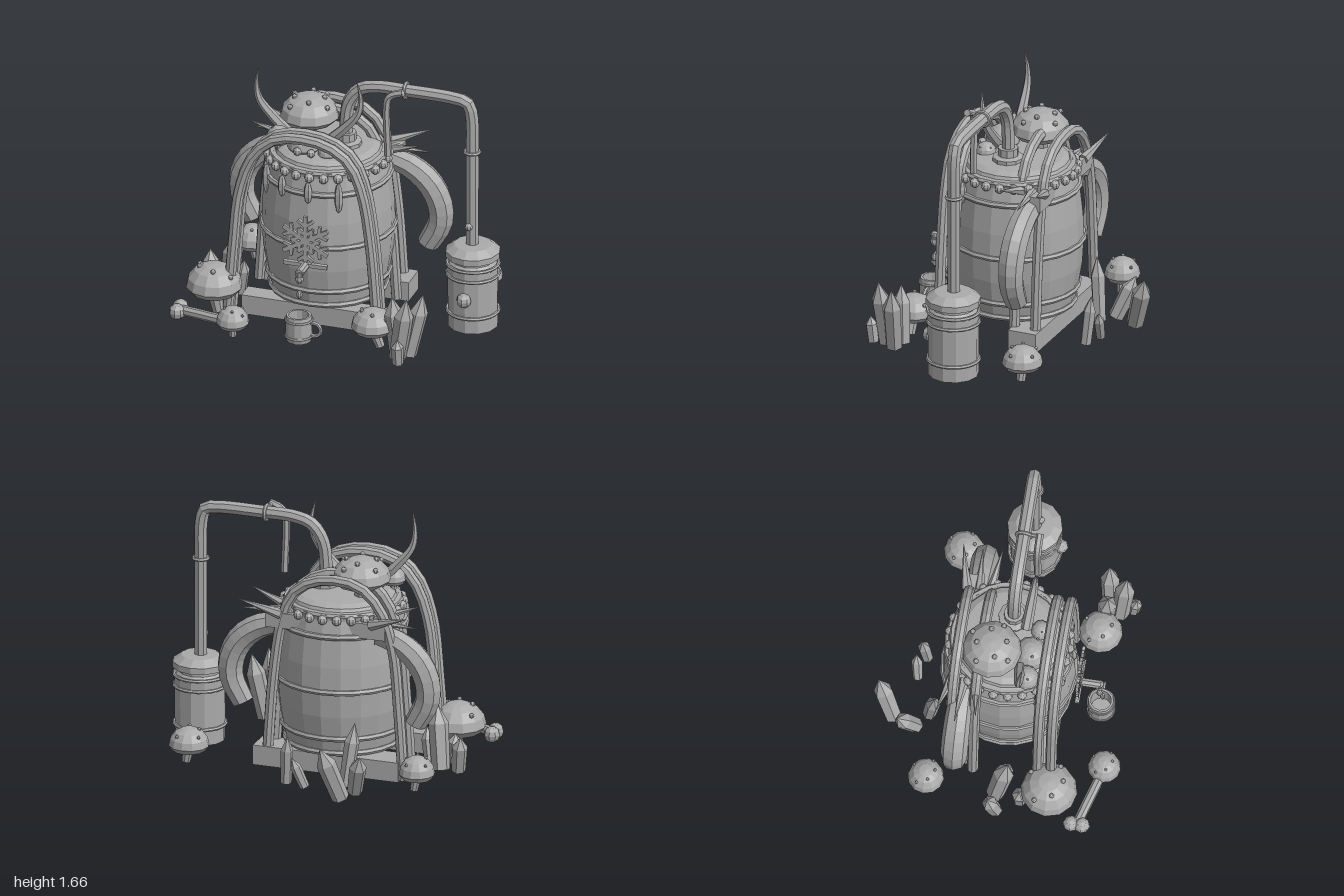
import * as THREE from 'three';

const mat = new THREE.MeshStandardMaterial({ color: 0xaaaaaa, flatShading: true, side: THREE.DoubleSide });
mat.name = 'stone grey';
const V = (x, y, z) => new THREE.Vector3(x, y, z);
const UP = V(0, 1, 0);
const CX = -0.14, CZ = 0.02; // barrel axis

export function createModel() {
  const root = new THREE.Group();

  const add = (name, geo, x = 0, y = 0, z = 0, parent = root) => {
    const m = new THREE.Mesh(geo, mat);
    m.name = name;
    m.position.set(x, y, z);
    parent.add(m);
    return m;
  };
  const box = (name, w, h, d, x, y, z, parent) => add(name, new THREE.BoxGeometry(w, h, d), x, y, z, parent);
  const ball = (name, r, x, y, z, parent) => add(name, new THREE.SphereGeometry(r, 8, 6), x, y, z, parent);
  const lathe = (name, pts, sides, x, y, z, parent) =>
    add(name, new THREE.LatheGeometry(pts.map(p => new THREE.Vector2(p[0], p[1])), sides), x, y, z, parent);
  const ring = (name, r, t, x, y, z) => {
    const m = add(name, new THREE.TorusGeometry(r, t, 6, 24), x, y, z);
    m.rotation.x = Math.PI / 2;
    return m;
  };
  // Straight tapered rod between two points
  const rod = (name, a, b, r0, r1, sides = 8) => {
    const d = b.clone().sub(a);
    const m = add(name, new THREE.CylinderGeometry(r1, r0, d.length(), sides));
    m.position.copy(a).addScaledVector(d, 0.5);
    m.quaternion.setFromUnitVectors(UP, d.normalize());
    return m;
  };
  // Capped tube along points, with a radius rule along its length
  const tube = (name, pts, r, sides = 8, segs = 24, taper = () => 1) => {
    const curve = new THREE.CatmullRomCurve3(pts, false, 'centripetal');
    const geo = new THREE.TubeGeometry(curve, segs, r, sides);
    const p = geo.attributes.position;
    for (let i = 0; i <= segs; i++) {
      const c = curve.getPointAt(i / segs), k = taper(i / segs);
      for (let j = 0; j <= sides; j++) {
        const n = i * (sides + 1) + j;
        const v = V(0, 0, 0).fromBufferAttribute(p, n).sub(c).multiplyScalar(k).add(c);
        p.setXYZ(n, v.x, v.y, v.z);
      }
    }
    const m = add(name, geo);
    for (const t of [0, 1]) {
      const cap = add(name + 'Cap', new THREE.CircleGeometry(r * taper(t), sides));
      cap.position.copy(curve.getPointAt(t));
      cap.quaternion.setFromUnitVectors(V(0, 0, 1), curve.getTangentAt(t).multiplyScalar(t ? 1 : -1));
    }
    return m;
  };

  // Barrel with hoops
  lathe('barrel', [[0, 0.15], [0.36, 0.15], [0.385, 0.27], [0.41, 0.42], [0.42, 0.59], [0.415, 0.75],
    [0.395, 0.93], [0.365, 1.07], [0, 1.07]], 20, CX, 0, CZ);
  for (const [y, r] of [[0.17, 0.365], [0.27, 0.385], [0.59, 0.42], [0.95, 0.395]]) ring('hoop', r, 0.019, CX, y, CZ);

  // Lid, studs and icicles
  lathe('lid', [[0.37, 1.05], [0.375, 1.09], [0.34, 1.1], [0.33, 1.12], [0.29, 1.14], [0, 1.16]], 20, CX, 0, CZ);
  ring('lidRim', 0.36, 0.02, CX, 1.08, CZ);
  for (let i = 0; i < 26; i++) {
    const a = i / 26 * Math.PI * 2, s = Math.sin(a), c = Math.cos(a);
    ball('rimStud', 0.031, CX + 0.38 * s, 1.058, CZ + 0.38 * c);
    if (c > 0.2 && i % 2 === 0) {
      const len = i % 4 ? 0.17 : 0.11;
      const ice = add('icicle', new THREE.SphereGeometry(1, 6, 5), CX + 0.405 * s, 1.02 - len / 2, CZ + 0.405 * c);
      ice.scale.set(0.028, len / 2 + 0.02, 0.028);
    }
  }

  // Base beams and rear crosspiece
  box('frontBeam', 0.94, 0.13, 0.13, -0.13, 0.085, 0.3);
  box('backBeam', 0.97, 0.13, 0.19, -0.145, 0.085, -0.225);
  box('rearCrosspiece', 0.8, 0.1, 0.1, CX, 1.0, -0.265);

  // Arched frame
  const arch = [[-0.69, 0.03], [-0.655, 0.5], [-0.61, 0.9], [-0.52, 1.14], [-0.38, 1.27], [-0.2, 1.3],
    [-0.02, 1.27], [0.11, 1.18], [0.19, 1.0], [0.25, 0.65], [0.3, 0.03]];
  for (const [z, k] of [[0.365, 1], [0.28, 1], [-0.135, 0.92], [-0.28, 0.92]])
    tube('arch', arch.map(([x, y]) => V(-0.2 + (x + 0.2) * k, y, z)), 0.036, 8, 30);

  // Curved side arms and thorns, mirrored about the barrel
  for (const s of [1, -1]) {
    const P = (x, y, z) => V(CX + s * x, y, z);
    tube('sideArm', [P(0.33, 0.96, -0.23), P(0.46, 0.92, -0.23), P(0.58, 0.83, -0.23), P(0.65, 0.7, -0.23),
      P(0.655, 0.56, -0.23), P(0.575, 0.4, -0.23)], 0.086, 8, 12, t => 0.83 + 0.17 * Math.sin(t * Math.PI));
    for (const [z0, x, y, z] of [[-0.3, 0.56, 1.13, -0.36], [-0.22, 0.58, 1.03, -0.24], [-0.15, 0.56, 1.13, -0.11]])
      rod('thorn', P(0.3, 1.04, z0), P(x, y, z), 0.035, 0.002, 6);
    // Horns rising from the lid
    tube('horn', [V(-0.23 + s * 0.13, 1.2, 0.12), V(-0.23 + s * 0.24, 1.31, 0.13), V(-0.23 + s * 0.33, 1.43, 0.14),
      V(-0.23 + s * 0.345, 1.54, 0.145), V(-0.23 + s * 0.325, 1.65, 0.16)], 0.034, 6, 16, t => 1.02 - t * t * 0.95);
  }

  // Mushrooms: cap radius, cap base height, cap height, stem foot and lean
  const mushroom = (x, z, r, y, h, foot, lean = 0, bumps = 5) => {
    const g = new THREE.Group();
    g.name = 'mushroom';
    g.position.set(x, y, z);
    root.add(g);
    lathe('cap', [[0, 0.02], [r * 0.8, 0], [r, h * 0.22], [r * 0.92, h * 0.52], [r * 0.68, h * 0.8],
      [r * 0.36, h * 0.95], [0, h]], 12, 0, 0, 0, g);
    for (let i = 0; i < bumps; i++) {
      const a = i * 2.4 + 0.4, q = i % 2 ? 0.5 : 0.78;
      ball('capBump', r * 0.09, r * q * Math.cos(a), h * (i % 2 ? 0.91 : 0.72), r * q * Math.sin(a), g);
    }
    rod('stem', V(x + lean, foot, z), V(x, y + 0.03, z), r * 0.22, r * 0.3);
  };
  mushroom(-0.78, 0.37, 0.18, 0.15, 0.195, 0.02, 0.03);
  mushroom(-0.55, 0.685, 0.105, 0.09, 0.135, 0.02);
  mushroom(0.325, 0.525, 0.14, 0.12, 0.155, 0.02, 0.05);
  mushroom(0.735, -0.405, 0.13, 0.1, 0.15, 0.02, 0.02);
  mushroom(-0.79, -0.41, 0.115, 0.1, 0.15, 0.02, 0.02);
  mushroom(-0.295, -0.07, 0.19, 1.22, 0.18, 1.1, 0, 8);
  mushroom(-0.25, 0.17, 0.11, 1.13, 0.14, 1.09, 0, 3);
  mushroom(-0.08, 0.21, 0.065, 1.13, 0.08, 1.09, 0, 3);
  mushroom(-0.42, 0.17, 0.08, 1.16, 0.11, 1.09, 0, 3);
  for (const x of [-0.26, -0.17]) ball('knob', 0.027, x, 1.165, 0.275);

  // Pipe from lid to side tank
  tube('mainPipe', [[-0.02, 1.12], [-0.02, 1.32], [0, 1.44], [0.07, 1.54], [0.18, 1.575], [0.4, 1.58], [0.7, 1.575],
    [0.785, 1.555], [0.81, 1.48], [0.815, 1.2], [0.815, 0.9], [0.815, 0.56]].map(([x, y]) => V(x, y, 0.03)), 0.043, 8, 48);
  lathe('pipeFlange', [[0.1, 1.14], [0.1, 1.17], [0.065, 1.18], [0.065, 1.23], [0, 1.23]], 10, -0.02, 0, 0.03);
  ring('pipeCollar', 0.045, 0.012, 0.815, 1.22, 0.03);
  add('pipeCollar', new THREE.TorusGeometry(0.048, 0.012, 6, 16), 0.375, 1.58, 0.03).rotation.y = Math.PI / 2;
  ball('pipeRivet', 0.025, 0.805, 0.71, 0.07);

  // Hooked pipe hanging in front of the main pipe
  tube('hangingPipe', [V(0.39, 1.61, 0.13), V(0.32, 1.585, 0.13), V(0.29, 1.55, 0.13), V(0.29, 1.16, 0.13)], 0.024, 6, 20);
  rod('hangingPipeLink', V(0.375, 1.6, 0.06), V(0.375, 1.605, 0.13), 0.012, 0.012, 6);

  // Side tank with rings, lid and valve
  lathe('tank', [[0, 0.02], [0.16, 0.02], [0.163, 0.44], [0.135, 0.47], [0.135, 0.495], [0.175, 0.5], [0.175, 0.54],
    [0.12, 0.58], [0, 0.585]], 12, 0.82, 0, 0.03);
  for (const y of [0.125, 0.38, 0.45]) ring('tankRing', 0.163, 0.012, 0.82, y, 0.03);
  ball('valve', 0.048, 0.815, 0.255, 0.195);

  // Spout and tap
  rod('spout', V(CX, 0.48, 0.4), V(CX, 0.48, 0.6), 0.028, 0.028);
  rod('spoutTip', V(CX, 0.41, 0.59), V(CX, 0.49, 0.59), 0.014, 0.028);
  ball('spoutBulb', 0.028, CX, 0.44, 0.59);
  ball('drop', 0.02, CX, 0.33, 0.59).scale.y = 1.4;
  box('spoutBar', 0.29, 0.025, 0.03, CX, 0.485, 0.47);

  // Snowflake emblem
  const flake = new THREE.Group();
  flake.name = 'snowflake';
  flake.position.set(CX, 0.65, 0.47);
  root.add(flake);
  for (let i = 0; i < 6; i++) {
    const arm = new THREE.Group();
    arm.rotation.z = i * Math.PI / 3;
    flake.add(arm);
    box('flakeArm', 0.028, 0.17, 0.02, 0, 0.085, 0, arm);
    for (const y of [0.04, 0.1]) for (const s of [1, -1])
      box('flakeBranch', 0.021, 0.065, 0.02, s * 0.024, y + 0.02, 0, arm).rotation.z = -s * 0.9;
  }

  // Mug with handle
  lathe('mug', [[0, 0.02], [0.078, 0.02], [0.085, 0.05], [0.085, 0.17], [0.08, 0.195], [0.065, 0.195],
    [0.065, 0.06], [0, 0.06]], 12, CX, 0, 0.6);
  for (const y of [0.055, 0.165]) ring('mugBand', 0.084, 0.009, CX, y, 0.6);
  add('mugHandle', new THREE.TorusGeometry(0.045, 0.013, 6, 12), CX + 0.1, 0.105, 0.6);

  // Knobbed club
  rod('clubStick', V(-0.95, 0.09, 0.57), V(-0.58, 0.115, 0.68), 0.033, 0.033);
  for (const z of [0.535, 0.605]) ball('clubKnob', 0.052, -0.945, 0.09, z);

  // Crystals: foot x, z, tip x, y, z, radius
  const crystals = [
    [0.49, 0.53, 0.46, 0.39, 0.55, 0.06], [0.52, 0.62, 0.59, 0.44, 0.65, 0.062], [0.57, 0.55, 0.66, 0.43, 0.53, 0.06],
    [0.55, 0.7, 0.55, 0.18, 0.72, 0.04], [-0.38, -0.68, -0.28, 0.36, -0.79, 0.062], [-0.42, -0.53, -0.49, 0.28, -0.64, 0.055],
    [-0.33, -0.46, -0.38, 0.42, -0.42, 0.048], [-0.1, -0.57, -0.02, 0.2, -0.59, 0.035], [0.04, -0.53, 0.02, 0.33, -0.56, 0.04],
    [-0.9, 0.05, -0.93, 0.25, 0, 0.05], [-0.79, 0.03, -0.74, 0.42, 0.1, 0.065], [-0.71, 0.06, -0.67, 0.26, 0.1, 0.042],
    [-0.81, 0.19, -0.83, 0.2, 0.19, 0.05]];
  for (const [x, z, tx, ty, tz, r] of crystals) {
    const a = V(x, 0.01, z), b = V(tx, ty, tz), mid = a.clone().lerp(b, 0.7);
    rod('crystalShaft', a, mid, r * 0.9, r, 6);
    rod('crystalTip', mid, b, r, 0.001, 6);
  }

  return root;
}
